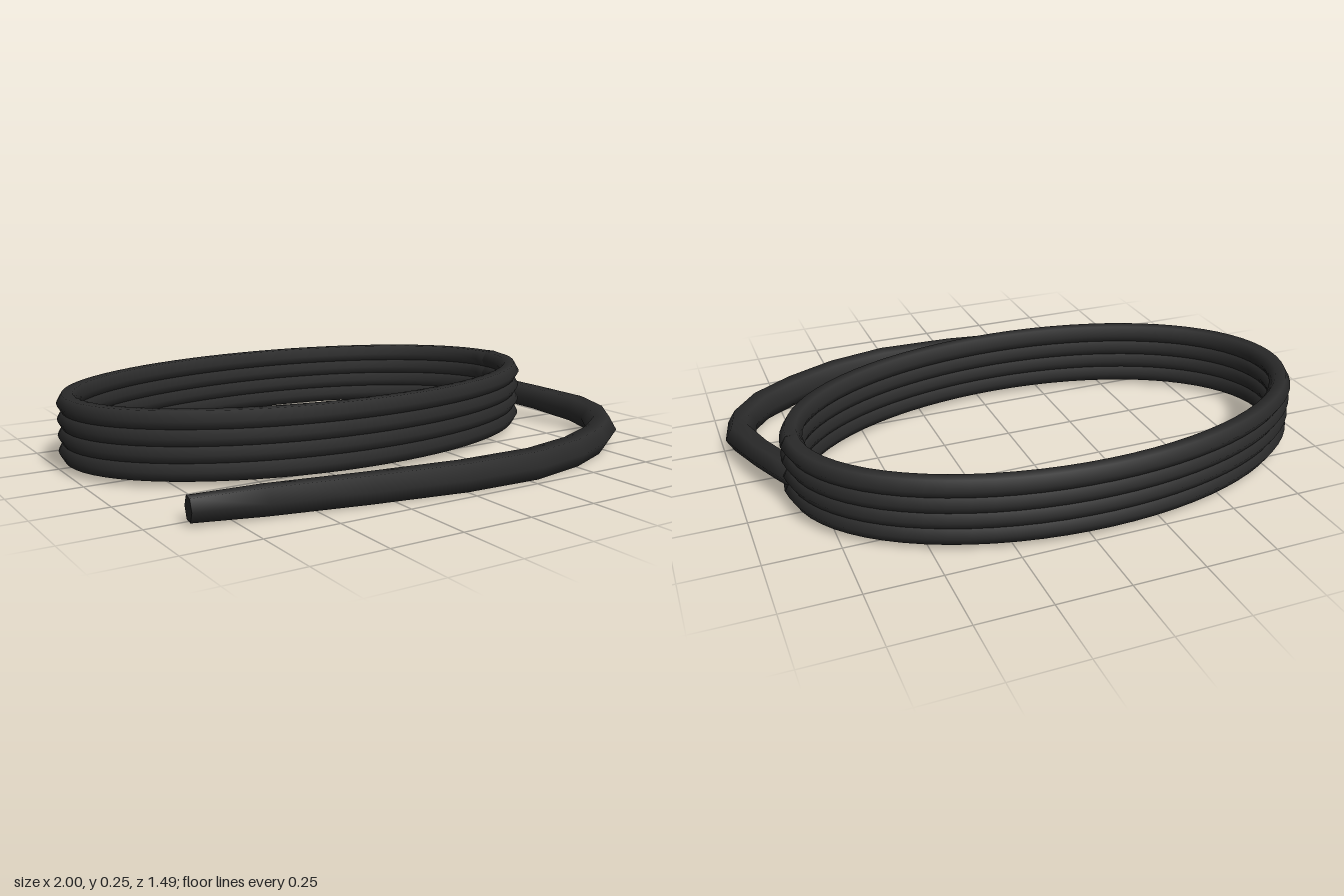
import * as THREE from 'three';

const SIDES = 6;

// Sweeps a capped six-sided tube through stations of [x, y, z, radius].
function sweep(stations) {
  const pos = [];
  const index = [];
  const up = new THREE.Vector3(0, 1, 0);
  const centres = stations.map((s) => new THREE.Vector3(s[0], s[1], s[2]));
  const last = stations.length - 1;
  const rim = (i) => {
    const t = centres[Math.min(i + 1, last)].clone().sub(centres[Math.max(i - 1, 0)]).normalize();
    const side = t.clone().cross(up).normalize();
    const lift = side.clone().cross(t);
    for (let j = 0; j < SIDES; j++) {
      const a = (j / SIDES) * Math.PI * 2;
      const p = centres[i].clone()
        .addScaledVector(side, Math.cos(a) * stations[i][3])
        .addScaledVector(lift, Math.sin(a) * stations[i][3]);
      pos.push(p.x, p.y, p.z);
    }
  };
  for (let i = 0; i <= last; i++) rim(i);
  for (let i = 0; i < last; i++) {
    for (let j = 0; j < SIDES; j++) {
      const k = (j + 1) % SIDES;
      const a = i * SIDES + j, c = i * SIDES + k;
      const b = a + SIDES, d = c + SIDES;
      index.push(a, b, c, b, d, c);
    }
  }
  // End caps use their own vertices so their edges stay sharp
  for (const end of [0, last]) {
    const base = pos.length / 3;
    rim(end);
    for (let j = 1; j < SIDES - 1; j++) {
      if (end === 0) index.push(base, base + j, base + j + 1);
      else index.push(base, base + j + 1, base + j);
    }
  }
  const geo = new THREE.BufferGeometry();
  geo.setAttribute('position', new THREE.Float32BufferAttribute(pos, 3));
  geo.setIndex(index);
  geo.computeVertexNormals();
  return geo;
}

export function createModel() {
  const model = new THREE.Group();
  model.name = 'coiledCable';
  const rubber = new THREE.MeshStandardMaterial({ color: 0x2b2b2b });
  rubber.name = 'black rubber';

  // One oval turn, swelling slightly where its ends meet
  const turn = [];
  const steps = 72;
  for (let i = 0; i <= steps; i++) {
    const a = (i / steps) * Math.PI * 2;
    const r = i === 0 || i === steps ? 0.04 : 0.0375;
    turn.push([-0.07 + 0.893 * Math.cos(a), 0, -0.188 + 0.52 * Math.sin(a), r]);
  }
  const turnGeometry = sweep(turn);

  // Stacked turns
  const coil = new THREE.Group();
  coil.name = 'coil';
  for (let i = 0; i < 4; i++) {
    const ring = new THREE.Mesh(turnGeometry, rubber);
    ring.name = 'coilTurn' + (i + 1);
    ring.position.y = 0.055 + i * 0.0553;
    coil.add(ring);
  }
  model.add(coil);

  // Loose end leaving the coil and curving around the front
  const tail = new THREE.Mesh(sweep([
    [0.815, 0.1, -0.185, 0.046],
    [0.855, 0.1, -0.095, 0.048],
    [0.897, 0.088, 0.03, 0.049],
    [0.941, 0.07, 0.205, 0.054],
    [0.915, 0.06, 0.335, 0.054],
    [0.825, 0.053, 0.46, 0.055],
    [0.68, 0.05, 0.56, 0.055],
    [0.5, 0.05, 0.64, 0.055],
    [0.285, 0.05, 0.687, 0.055],
    [0, 0.05, 0.68, 0.054],
    [-0.335, 0.051, 0.632, 0.052],
    [-0.65, 0.051, 0.572, 0.05],
    [-0.875, 0.051, 0.533, 0.042],
  ]), rubber);
  tail.name = 'looseEnd';
  model.add(tail);

  return model;
}
